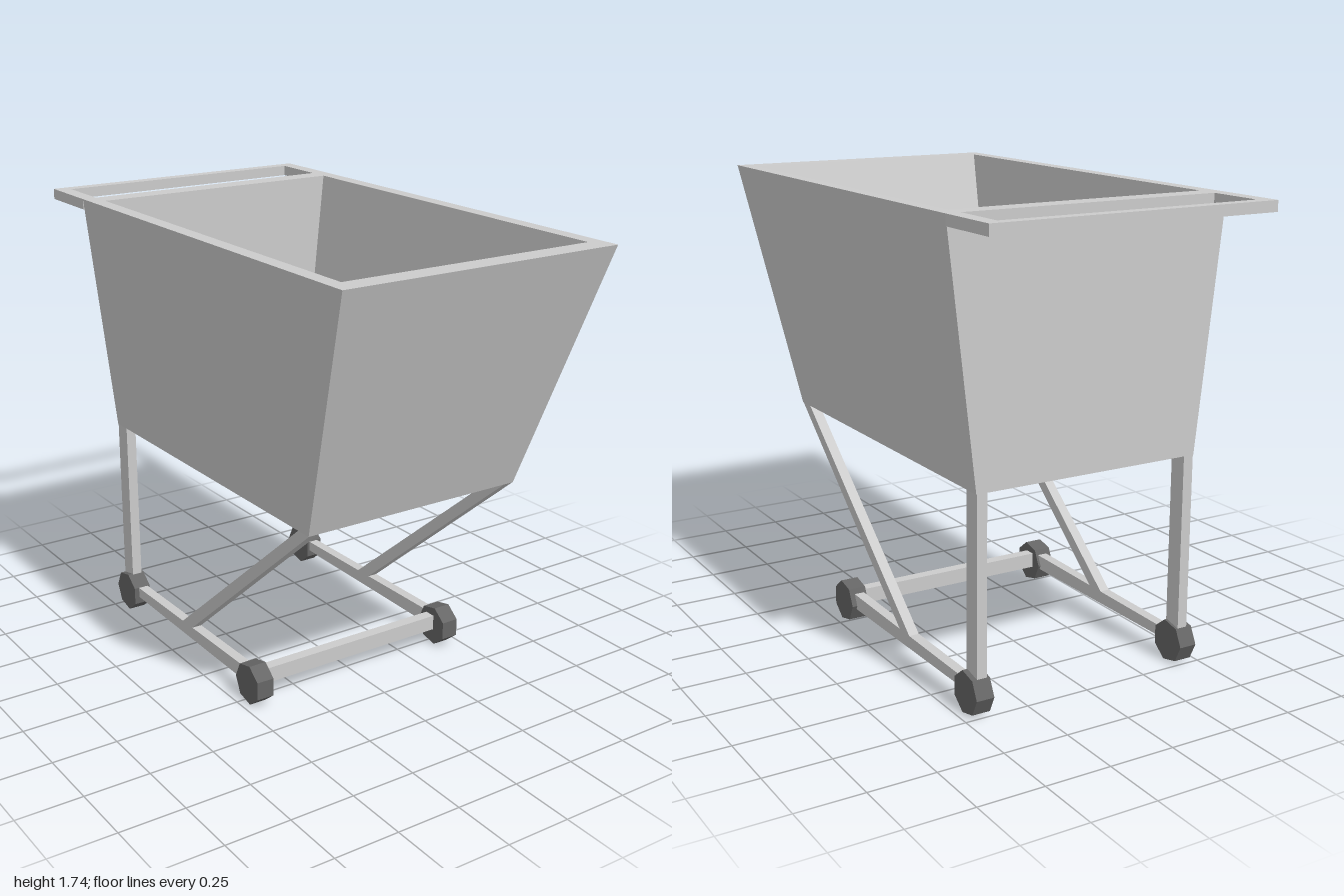
import * as THREE from 'three';

const grey = new THREE.MeshStandardMaterial({ color: 0xcccccc, flatShading: true });
const dark = new THREE.MeshStandardMaterial({ color: 0x666666, flatShading: true });

function add(parent, name, geometry, material = grey) {
  const mesh = new THREE.Mesh(geometry, material);
  mesh.name = name;
  parent.add(mesh);
  return mesh;
}

// Rectangle of four corners at height y
const ring = (y, halfX, front, back) => [
  [-halfX, y, front], [halfX, y, front], [halfX, y, back], [-halfX, y, back],
];

// Flat quads between successive rings, closed by a cap at each end
function loftRings(rings) {
  const pos = [];
  const quad = (a, b, c, d) => pos.push(...a, ...b, ...c, ...a, ...c, ...d);
  for (let r = 0; r < rings.length - 1; r++) {
    const lower = rings[r], upper = rings[r + 1];
    for (let i = 0; i < 4; i++) {
      const j = (i + 1) % 4;
      quad(lower[i], lower[j], upper[j], upper[i]);
    }
  }
  const first = rings[0], last = rings[rings.length - 1];
  quad(first[3], first[2], first[1], first[0]);
  quad(...last);
  const g = new THREE.BufferGeometry();
  g.setAttribute('position', new THREE.Float32BufferAttribute(pos, 3));
  g.computeVertexNormals();
  return g;
}

// Side outline given as [z, y] points, extruded from x0 to x1
function sideProfile(points, x0, x1) {
  const shape = new THREE.Shape(points.map(([z, y]) => new THREE.Vector2(z, y)));
  return new THREE.ExtrudeGeometry(shape, { depth: x1 - x0, bevelEnabled: false })
    .rotateY(-Math.PI / 2)
    .translate(x1, 0, 0);
}

export function createModel() {
  const model = new THREE.Group();
  model.name = 'shoppingCart';

  // Tapered open basket: outside wall, rim, inside wall, floor
  add(model, 'basket', loftRings([
    ring(0.81, 0.452, 0.66, -0.74),
    ring(1.745, 0.56, 1.0, -0.735),
    ring(1.745, 0.505, 0.915, -0.655),
    ring(0.86, 0.41, 0.595, -0.655),
  ]));

  // Push handle: two arms and a crossbar
  for (const s of [-1, 1]) {
    add(model, 'handleArm', new THREE.BoxGeometry(0.055, 0.04, 0.22))
      .position.set(s * 0.5325, 1.725, -0.845);
  }
  add(model, 'handleBar', new THREE.BoxGeometry(1.12, 0.04, 0.045))
    .position.set(0, 1.725, -0.9775);

  // Undercarriage, repeated on both sides
  for (const s of [-1, 1]) {
    const side = new THREE.Group();
    side.name = s > 0 ? 'leftFrame' : 'rightFrame';
    const x0 = s > 0 ? 0.41 : -0.45, x1 = x0 + 0.04;
    add(side, 'rearLeg', sideProfile(
      [[-0.74, 0.075], [-0.67, 0.075], [-0.67, 0.81], [-0.74, 0.81]], x0, x1));
    add(side, 'diagonalBrace', sideProfile(
      [[-0.25, 0.115], [-0.175, 0.115], [0.66, 0.81], [0.595, 0.81]], x0, x1));
    add(side, 'bottomRail', sideProfile(
      [[-0.69, 0.075], [0.28, 0.065], [0.28, 0.125], [-0.69, 0.115]], x0, x1));

    // Seven-sided wheels
    for (const [name, z] of [['frontWheel', 0.276], ['rearWheel', -0.692]]) {
      const wheel = new THREE.CylinderGeometry(0.081, 0.081, 0.07, 7, 1, false, Math.PI)
        .rotateZ(Math.PI / 2);
      add(side, name, wheel, dark).position.set(s * 0.435, 0.081, z);
    }
    model.add(side);
  }

  // Crossbar joining the front wheels
  add(model, 'frontCrossbar', new THREE.BoxGeometry(0.84, 0.06, 0.045))
    .position.set(0, 0.095, 0.265);

  return model;
}
